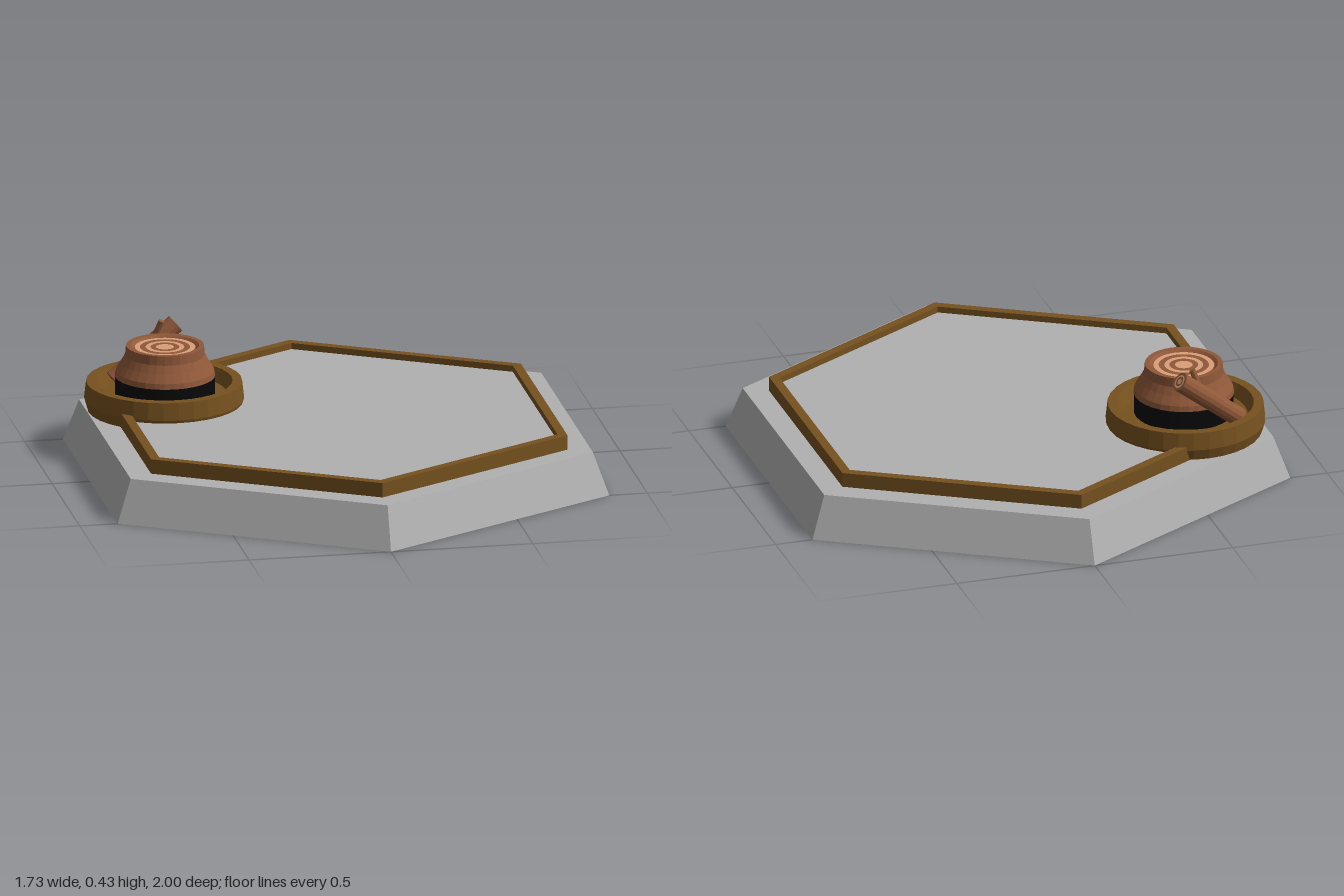
import * as THREE from 'three';

const STONE = 0xb0b0b0, BRONZE = 0x76511f, BARK = 0x8f5839, PALE = 0xdb9f78, BLACK = 0x080808;

function part(parent, name, geometry, color) {
  const material = new THREE.MeshStandardMaterial({ color, flatShading: true });
  const mesh = new THREE.Mesh(geometry, material);
  mesh.name = name;
  parent.add(mesh);
  return mesh;
}

// Turned solid from [radius, height] pairs, listed bottom to top along the outside
function turned(points, sides) {
  return new THREE.LatheGeometry(points.map(([r, y]) => new THREE.Vector2(r, y)), sides);
}

// Flat growth rings facing +y, alternating pale and dark from the outside in
function growthRings(parent, radii, y, sides) {
  radii.forEach((outer, i) => {
    const inner = radii[i + 1] ?? 0;
    part(parent, 'growthRing' + (i + 1),
      turned([[outer, y], [inner, y]], sides), i % 2 ? BARK : PALE);
  });
}

// Round stick running between two points, with its +y end at "to"
function stick(parent, name, from, to, radius, sides) {
  const group = new THREE.Group();
  group.name = name;
  const axis = to.clone().sub(from);
  const length = axis.length();
  group.position.copy(from).addScaledVector(axis, 0.5);
  group.quaternion.setFromUnitVectors(new THREE.Vector3(0, 1, 0), axis.normalize());
  part(group, name + 'Bark', new THREE.CylinderGeometry(radius, radius, length, sides), BARK);
  parent.add(group);
  return { group, length };
}

export function createModel() {
  const model = new THREE.Group();
  model.name = 'hexTile';

  // Bevelled hexagonal stone base
  part(model, 'base', new THREE.CylinderGeometry(0.94, 1, 0.15, 6), STONE).position.y = 0.075;

  // Raised hexagonal border
  part(model, 'border', turned([
    [0.81, 0.15], [0.847, 0.15], [0.847, 0.202], [0.81, 0.202], [0.81, 0.15],
  ], 6), BRONZE);

  // Stone floor inside the border, slightly below its rim
  part(model, 'floor', turned([[0.81, 0.18], [0, 0.18]], 6), STONE);

  // Round tray in the corner
  const tray = part(model, 'tray', turned([
    [0, 0.151], [0.266, 0.151], [0.277, 0.19], [0.27, 0.252],
    [0.237, 0.252], [0.215, 0.207], [0, 0.207],
  ], 32), BRONZE);
  tray.position.set(-0.545, 0, -0.313);

  // Stump on a black foot
  const stump = new THREE.Group();
  stump.name = 'stump';
  stump.position.set(-0.547, 0, -0.287);
  model.add(stump);
  part(stump, 'stumpFoot', new THREE.CylinderGeometry(0.173, 0.173, 0.076, 32), BLACK).position.y = 0.242;
  part(stump, 'stumpBark', turned([
    [0, 0.279], [0.174, 0.279], [0.171, 0.298], [0.152, 0.328],
    [0.138, 0.355], [0.135, 0.388], [0.118, 0.388], [0.108, 0.379], [0, 0.379],
  ], 32), BARK);
  growthRings(stump, [0.105, 0.087, 0.067, 0.05, 0.031], 0.381, 32);

  // Small log leaning against the back of the stump
  const log = stick(model, 'log', new THREE.Vector3(-0.7, 0.225, -0.435),
    new THREE.Vector3(-0.475, 0.405, -0.47), 0.034, 14);
  growthRings(log.group, [0.025, 0.018, 0.01], log.length / 2 + 0.001, 14);

  // Twig stub on the log
  stick(model, 'twig', new THREE.Vector3(-0.555, 0.36, -0.452),
    new THREE.Vector3(-0.53, 0.428, -0.437), 0.011, 8);

  return model;
}
